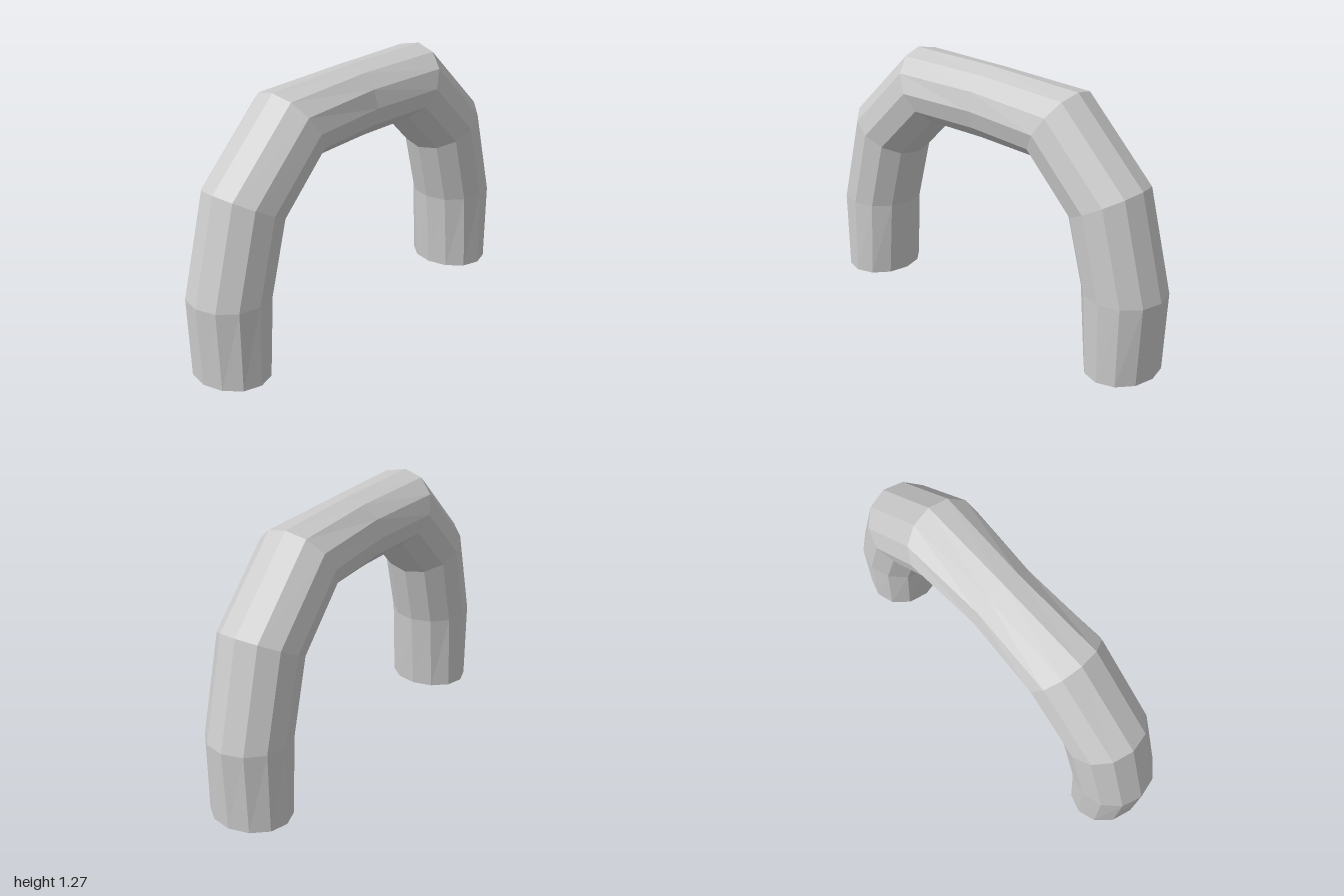
import * as THREE from 'three';

const SIDES = 12;

// Half of the arch, from foot to crown: outer and inner edge as [z, y], half width in x
const half = [
  { outer: [0.98, 0], inner: [0.635, 0], rx: 0.2 },
  { outer: [1.0, 0.4], inner: [0.6, 0.4], rx: 0.2 },
  { outer: [0.87, 0.9], inner: [0.52, 0.705], rx: 0.2 },
  { outer: [0.5, 1.265], inner: [0.305, 0.925], rx: 0.2 },
  { outer: [0, 1.275], inner: [0, 0.925], rx: 0.175 },
];

// Mirror the half to the back
const mirrorRing = ({ outer, inner, rx }) => ({
  outer: [-outer[0], outer[1]],
  inner: [-inner[0], inner[1]],
  rx,
});

// Skin elliptical rings into an open tube
function loftRings(rings) {
  const positions = [];
  const indices = [];
  rings.forEach(({ outer, inner, rx }, i) => {
    for (let j = 0; j < SIDES; j++) {
      const a = (j / SIDES) * Math.PI * 2;
      const t = (1 + Math.cos(a)) / 2;
      positions.push(
        rx * Math.sin(a),
        THREE.MathUtils.lerp(inner[1], outer[1], t),
        THREE.MathUtils.lerp(inner[0], outer[0], t),
      );
      if (i === rings.length - 1) continue;
      const p = i * SIDES + j;
      const q = i * SIDES + ((j + 1) % SIDES);
      indices.push(p, q, q + SIDES, p, q + SIDES, p + SIDES);
    }
  });
  const geometry = new THREE.BufferGeometry();
  geometry.setAttribute('position', new THREE.Float32BufferAttribute(positions, 3));
  geometry.setIndex(indices);
  geometry.computeVertexNormals();
  return geometry;
}

export function createModel() {
  const group = new THREE.Group();
  group.name = 'arch';

  const material = new THREE.MeshStandardMaterial({
    color: 0xcccccc,
    flatShading: true,
    side: THREE.DoubleSide,
  });

  // Faceted tube, open at both feet
  const rings = [...half, ...half.slice(0, -1).reverse().map(mirrorRing)];
  const tube = new THREE.Mesh(loftRings(rings), material);
  tube.name = 'archTube';
  group.add(tube);

  return group;
}
